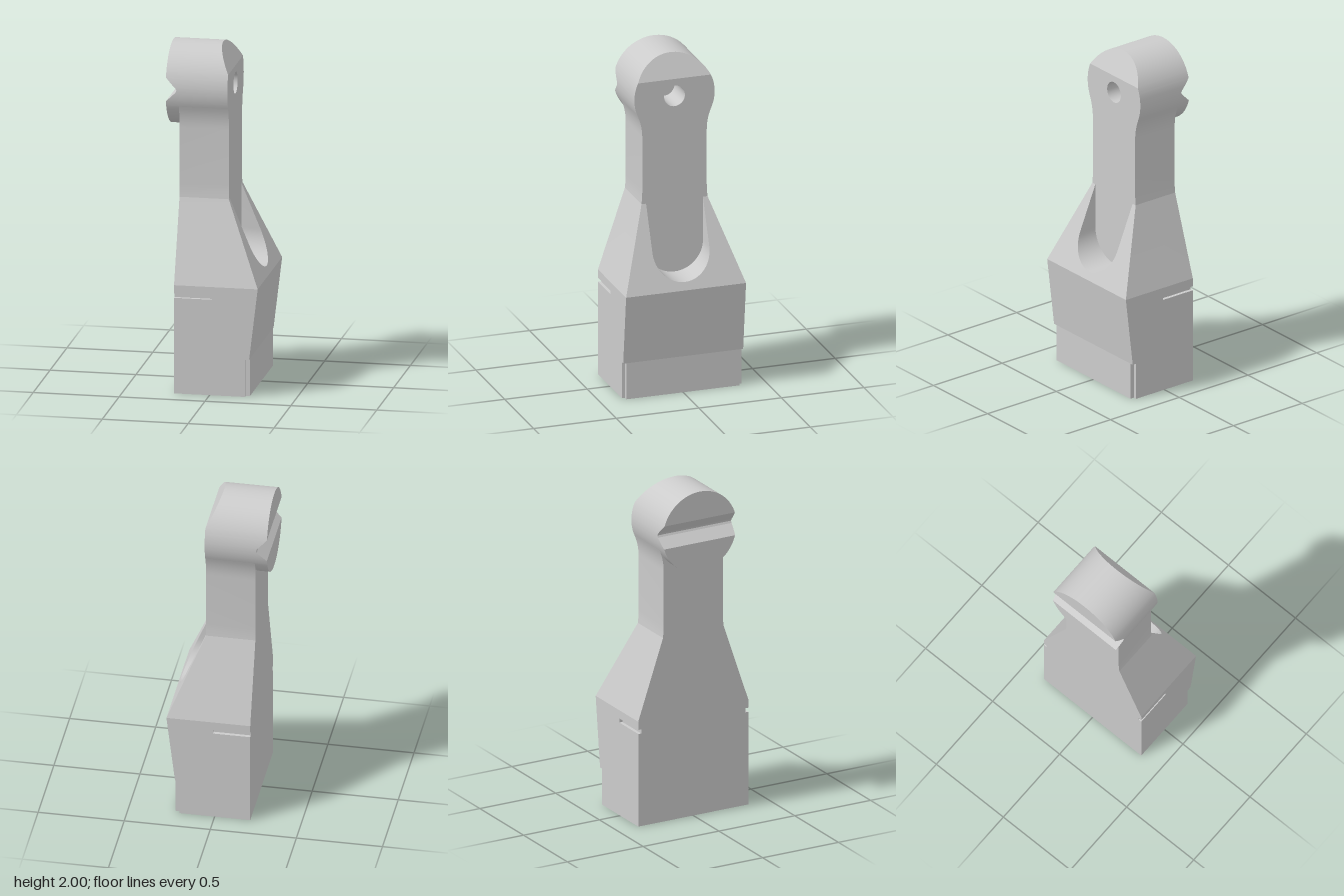
import * as THREE from 'three';
import { toCreasedNormals } from 'three/addons/utils/BufferGeometryUtils.js';

const BACK = -0.207, HEAD_BACK = -0.28, NECK_X = 0.08;
const HALF = 0.363, NECK = 0.195;
const R = 0.243, CY = 1.757;          // round head
const HOLE = 0.063, HOLE_END = -0.1;  // blind hole
const SLOT = 0.172, SLOT_Y = 0.857;   // rounded slot in the shoulder

// Piecewise-linear lookup of value by height
const lookup = (table) => (y) => {
  for (let i = 1; i < table.length; i++) {
    const [y0, v0] = table[i - 1], [y1, v1] = table[i];
    if (y <= y1) return v0 + (v1 - v0) * (y - y0) / (y1 - y0);
  }
  return table[table.length - 1][1];
};
const frontX = lookup([[0, 0.23], [0.22, 0.23], [0.64, 0.28], [1.12, NECK_X], [1.86, NECK_X], [2, 0.01]]);
const headBackX = lookup([[1.5, HEAD_BACK], [1.69, HEAD_BACK], [1.745, -0.223], [1.757, -0.217],
  [1.769, -0.223], [1.83, HEAD_BACK], [2, HEAD_BACK]]);
const circleZ = (y) => Math.sqrt(Math.max(0, R * R - (y - CY) ** 2));

// Collects quads and flat sheets, optionally mirrored in z
function builder() {
  const pos = [];
  const tri = (a, b, c, mirror) => {
    pos.push(...a, ...b, ...c);
    if (mirror) for (const p of [a, c, b]) pos.push(p[0], p[1], -p[2]);
  };
  return {
    quad(a, b, c, d, mirror = false) { tri(a, b, c, mirror); tri(a, c, d, mirror); },
    sheet(points, map, mirror = false, hole = null) {
      const shape = new THREE.Shape(points.map((p) => new THREE.Vector2(...p)));
      if (hole) shape.holes.push(hole);
      const g = new THREE.ShapeGeometry(shape, 24).toNonIndexed();
      const p = g.attributes.position;
      const at = (i) => map(p.getX(i), p.getY(i));
      for (let i = 0; i < p.count; i += 3) tri(at(i), at(i + 1), at(i + 2), mirror);
    },
    // side wall following [z, y] points upwards
    wall(points, x0, x1) {
      for (let i = 1; i < points.length; i++) {
        const [z0, y0] = points[i - 1], [z1, y1] = points[i];
        this.quad([x0(y0), y0, z0], [x1(y0), y0, z0], [x1(y1), y1, z1], [x0(y1), y1, z1], true);
      }
    },
    mesh(name) {
      const g = new THREE.BufferGeometry();
      g.setAttribute('position', new THREE.Float32BufferAttribute(pos, 3));
      const m = new THREE.Mesh(toCreasedNormals(g, 0.3), new THREE.MeshStandardMaterial({ color: 0xcccccc }));
      m.name = name;
      return m;
    },
  };
}

// Base block with side slits and notched front corners
function makeBase() {
  const b = builder();
  const nx = 0.205, nz = 0.342, ny = 0.22, fx = 0.23;
  const sx = 0.01, sz = 0.343, s0 = 0.565, s1 = 0.59, top = 0.64;
  b.sheet([[BACK, 0], [nx, 0], [nx, ny], [fx, ny], [0.28, top], [BACK, top],
    [BACK, s1], [sx, s1], [sx, s0], [BACK, s0]], (x, y) => [x, y, HALF], true);
  const half = [[HALF, 0], [HALF, s0], [sz, s0], [sz, s1], [HALF, s1], [HALF, top]];
  b.sheet([...half, ...half.map(([z, y]) => [-z, y]).reverse()], (z, y) => [BACK, y, z]);
  b.sheet([[BACK, -HALF], [nx, -HALF], [nx, -nz], [fx, -nz], [fx, nz], [nx, nz], [nx, HALF], [BACK, HALF]],
    (x, z) => [x, 0, z]);
  b.quad([fx, 0, nz], [fx, 0, -nz], [fx, ny, -nz], [fx, ny, nz]);
  b.quad([fx, ny, HALF], [fx, ny, -HALF], [0.28, top, -HALF], [0.28, top, HALF]);
  // corner notches
  b.quad([nx, 0, nz], [fx, 0, nz], [fx, ny, nz], [nx, ny, nz], true);
  b.quad([nx, 0, HALF], [nx, 0, nz], [nx, ny, nz], [nx, ny, HALF], true);
  b.quad([nx, ny, nz], [fx, ny, nz], [fx, ny, HALF], [nx, ny, HALF], true);
  // slits
  b.quad([BACK, s0, sz], [sx, s0, sz], [sx, s1, sz], [BACK, s1, sz], true);
  b.quad([BACK, s1, sz], [sx, s1, sz], [sx, s1, HALF], [BACK, s1, HALF], true);
  b.quad([BACK, s0, HALF], [sx, s0, HALF], [sx, s0, sz], [BACK, s0, sz], true);
  b.quad([sx, s0, sz], [sx, s0, HALF], [sx, s1, HALF], [sx, s1, sz], true);
  return b.mesh('base');
}

export function createModel() {
  const group = new THREE.Group();
  group.name = 'latchPost';
  const mirrorLoop = (pts) => [...pts, ...pts.map(([z, y]) => [-z, y]).reverse()];

  // Fillet between the neck and the round head
  const F = 0.33, drop = Math.sqrt((R + F) ** 2 - (NECK + F) ** 2);
  const sweep = Math.asin(drop / (R + F));
  const fillet = [];
  for (let i = 0; i <= 6; i++) {
    const a = sweep * i / 6;
    fillet.push([NECK + F - F * Math.cos(a), CY - drop + F * Math.sin(a)]);
  }
  const joinY = fillet[6][1];
  const shoulderSide = [[HALF, 0.64], [0.21, 1.09], [0.2, 1.12]];
  const neckSide = [[0.2, 1.12], [0.196, 1.16], [NECK, 1.2], ...fillet];

  // Heights used to slice the head
  const levels = [joinY, 1.69, 1.745, 1.757, 1.769, 1.83, 1.86];
  for (let i = 0; i <= 48; i++) levels.push(CY - R * Math.cos(Math.PI * i / 48));
  levels.sort((a, b) => a - b);
  const ys = levels.filter((y, i) => i === 0 || y - levels[i - 1] > 1e-5);
  const headSide = ys.map((y) => [circleZ(y), y]);

  // Slot edge, from its lowest point up one side
  const slot = [];
  for (let i = 0; i <= 16; i++) {
    const a = Math.PI / 2 * i / 16;
    slot.push([SLOT * Math.sin(a), SLOT_Y - SLOT * Math.cos(a)]);
  }
  slot.push([SLOT, 1.12]);

  // Sloped shoulder with the slot cut into it
  const shoulder = builder();
  shoulder.wall(shoulderSide, () => BACK, frontX);
  shoulder.sheet(mirrorLoop([...shoulderSide, ...slot.slice(1).reverse(), slot[0]]).filter(
    (p, i, all) => i === 0 || p[0] !== -all[i - 1][0] || p[0] !== 0), (u, y) => [frontX(y), y, -u]);
  shoulder.sheet(mirrorLoop(shoulderSide), (z, y) => [BACK, y, z]);
  for (let i = 1; i < slot.length; i++) {
    const [z0, y0] = slot[i - 1], [z1, y1] = slot[i];
    shoulder.quad([frontX(y0), y0, z0], [NECK_X, y0, z0], [NECK_X, y1, z1], [frontX(y1), y1, z1], true);
  }

  // Neck, its flat front running from the slot floor up to the head
  const neck = builder();
  neck.wall(neckSide, () => BACK, frontX);
  neck.sheet(mirrorLoop(neckSide), (z, y) => [BACK, y, z]);
  const hole = new THREE.Path().absarc(0, CY, HOLE, 0, Math.PI * 2, true);
  const faceSide = [...slot.slice(1), ...neckSide, ...headSide.filter(([, y]) => y > joinY + 1e-5 && y <= 1.86)];
  neck.sheet([slot[0], ...mirrorLoop(faceSide)], (u, y) => [NECK_X, y, -u], false, hole);

  // Round head with a V groove across its back and a bevelled front top
  const head = builder();
  head.wall(headSide.filter(([, y]) => y <= joinY + 1e-6), headBackX, () => BACK);
  head.wall(headSide.filter(([, y]) => y >= joinY - 1e-6), headBackX, frontX);
  for (let i = 1; i < headSide.length; i++) {
    const [z0, y0] = headSide[i - 1], [z1, y1] = headSide[i];
    const b0 = headBackX(y0), b1 = headBackX(y1);
    head.quad([b0, y0, -z0], [b0, y0, z0], [b1, y1, z1], [b1, y1, -z1]);
    if (y0 >= 1.86 - 1e-6) {
      head.quad([frontX(y0), y0, z0], [frontX(y0), y0, -z0], [frontX(y1), y1, -z1], [frontX(y1), y1, z1]);
    }
  }

  // Blind hole through the front of the head
  const grey = (side) => new THREE.MeshStandardMaterial({ color: 0xcccccc, side });
  const bore = new THREE.Mesh(
    new THREE.CylinderGeometry(HOLE, HOLE, NECK_X - HOLE_END, 48, 1, true).rotateZ(Math.PI / 2), grey(THREE.BackSide));
  bore.position.set((NECK_X + HOLE_END) / 2, CY, 0);
  bore.name = 'holeWall';
  const floor = new THREE.Mesh(new THREE.CircleGeometry(HOLE, 48).rotateY(Math.PI / 2), grey(THREE.FrontSide));
  floor.position.set(HOLE_END, CY, 0);
  floor.name = 'holeFloor';

  group.add(makeBase(), shoulder.mesh('shoulder'), neck.mesh('neck'), head.mesh('head'), bore, floor);
  return group;
}
